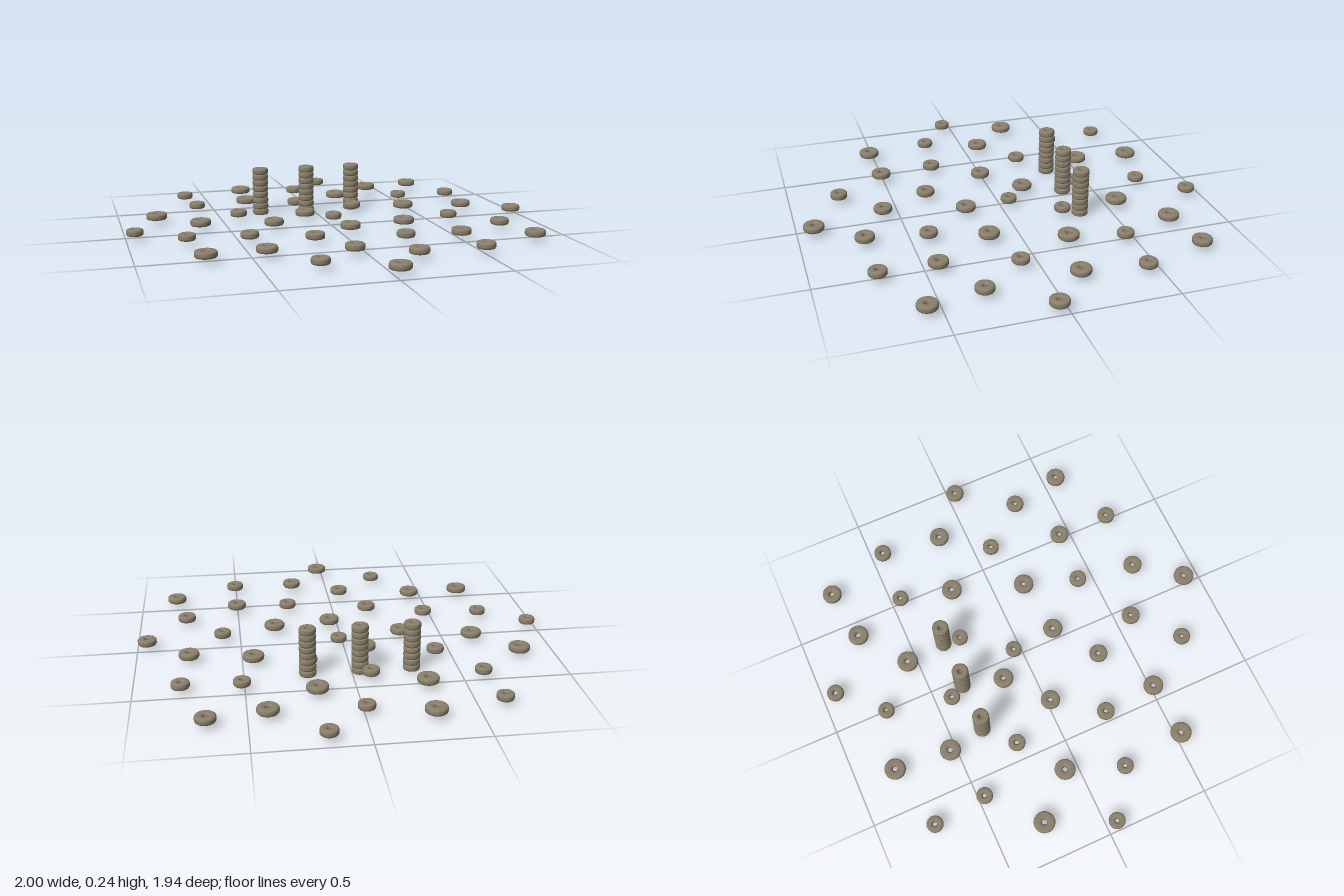
import * as THREE from 'three';

const THICKNESS = 0.032;
const GOLDEN_ANGLE = Math.PI * (3 - Math.sqrt(5));

// Rounded bead: half cross-section as [fraction of radius, fraction of half height]
const HALF = [[0.24, 0.45], [0.3, 0.72], [0.4, 0.95], [0.5, 1], [0.78, 1], [0.91, 0.88], [0.98, 0.62], [1, 0.3]];

function beadGeometry(radius) {
  const point = ([r, y], side) => new THREE.Vector2(r * radius, side * y * THICKNESS / 2);
  const profile = [
    ...HALF.map(p => point(p, -1)),
    ...[...HALF].reverse().map(p => point(p, 1)),
    point(HALF[0], -1),
  ];
  return new THREE.LatheGeometry(profile, 24);
}

export function createModel() {
  const model = new THREE.Group();
  model.name = 'beadField';
  const material = new THREE.MeshStandardMaterial({ color: 0x8a7f6b });

  // Loose beads laid out on a sunflower spiral, sizes varying in a wave
  const scatter = new THREE.Group();
  scatter.name = 'looseBeads';
  for (let i = 0; i < 40; i++) {
    const radius = 0.0455 + 0.0058 * Math.sin(1.98 * i - 1.36);
    const distance = 0.16 * Math.sqrt(i);
    const angle = i * GOLDEN_ANGLE;
    const bead = new THREE.Mesh(beadGeometry(radius), material);
    bead.name = 'looseBead';
    bead.position.set(0.023 + distance * Math.cos(angle), 0.04, -0.04 - distance * Math.sin(angle));
    scatter.add(bead);
  }
  model.add(scatter);

  // Three upright stacks of eight beads
  const stackedGeometry = beadGeometry(0.04);
  for (const x of [-0.281, -0.037, 0.206]) {
    const stack = new THREE.Group();
    stack.name = 'beadStack';
    for (let i = 0; i < 8; i++) {
      const bead = new THREE.Mesh(stackedGeometry, material);
      bead.name = 'stackedBead';
      bead.position.y = THICKNESS / 2 + i * 0.03;
      stack.add(bead);
    }
    stack.position.set(x, 0, -0.345);
    model.add(stack);
  }
  return model;
}
